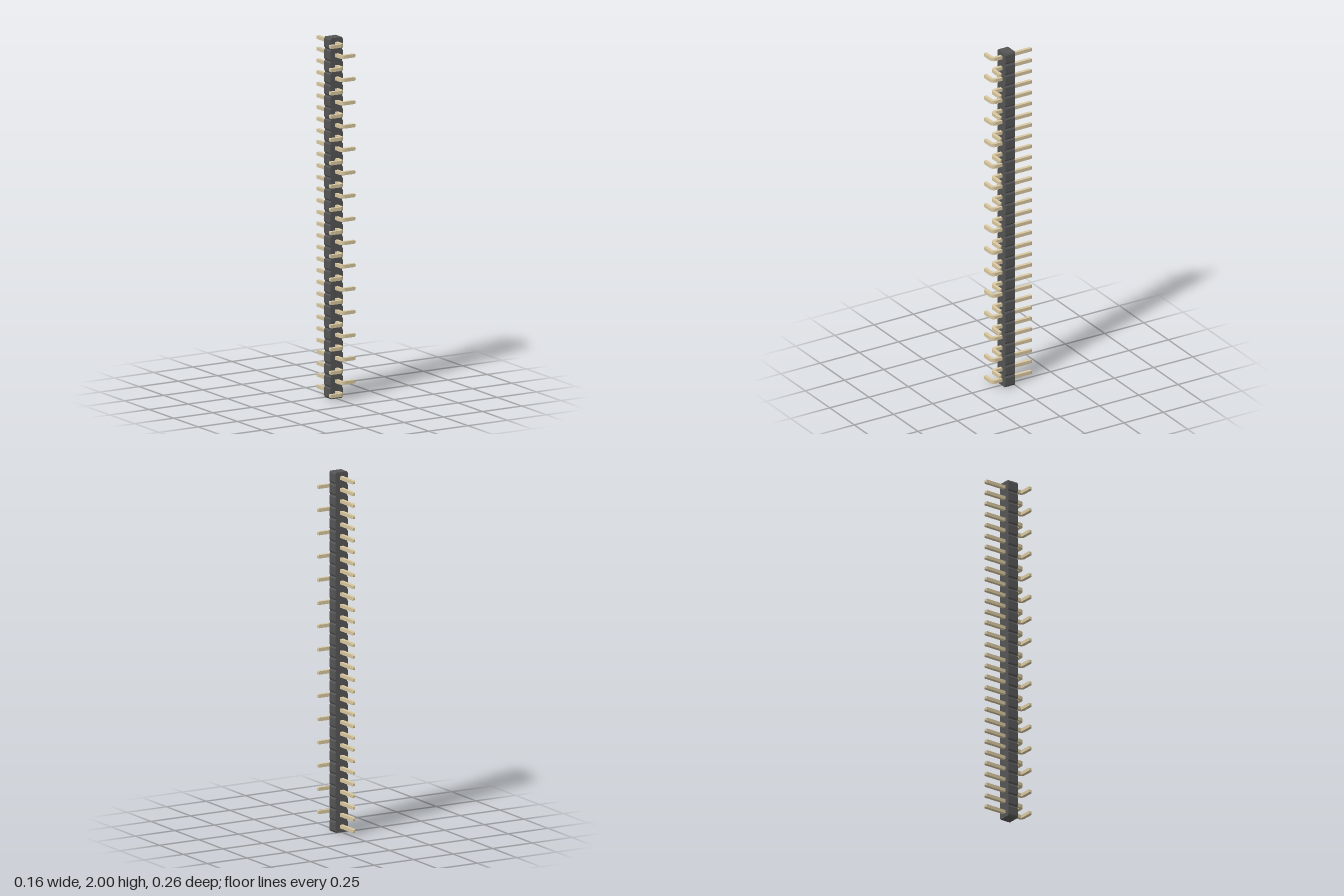
import * as THREE from 'three';

const COUNT = 31;
const PITCH = 2 / COUNT;
const HALF = 0.0095; // half thickness of the square pin wire

// Notched plastic strip: one chamfered cell per pin, extruded front to back
function stripGeometry() {
  const w = 0.04, inset = 0.034, c = 0.01;
  const right = [];
  for (let i = 0; i < COUNT; i++) {
    const y0 = i * PITCH, y1 = y0 + PITCH;
    right.push([inset, y0], [w, y0 + c], [w, y1 - c]);
  }
  right.push([inset, 2]);
  const left = right.map(([x, y]) => [-x, y]).reverse();
  const shape = new THREE.Shape([...right, ...left].map(([x, y]) => new THREE.Vector2(x, y)));
  return new THREE.ExtrudeGeometry(shape, { depth: 0.0625, bevelEnabled: false });
}

// Square wire running forwards, bent towards -x, with tapered ends
function pinGeometry() {
  const legZ = 0.1185, r = HALF + 0.006, bendZ = legZ - r;
  // Stations: x, z, turn angle, half thickness
  const stations = [
    [0, -0.13, 0, 0.0055],
    [0, -0.124, 0, HALF],
  ];
  const steps = 6;
  for (let i = 0; i <= steps; i++) {
    const a = (i / steps) * Math.PI / 2;
    stations.push([-r + r * Math.cos(a), bendZ + r * Math.sin(a), a, HALF]);
  }
  stations.push([-0.076, legZ, Math.PI / 2, HALF], [-0.08, legZ, Math.PI / 2, 0.0065]);

  const corners = [[1, 1], [-1, 1], [-1, -1], [1, -1]];
  const rings = stations.map(([x, z, a, h]) => corners.map(([u, v]) =>
    [x + u * h * Math.cos(a), v * h, z + u * h * Math.sin(a)]));

  const pos = [];
  const quad = (a, b, c, d) => pos.push(...a, ...b, ...c, ...a, ...c, ...d);
  for (let i = 0; i < rings.length - 1; i++) {
    const p = rings[i], q = rings[i + 1];
    for (let j = 0; j < 4; j++) {
      const k = (j + 1) % 4;
      quad(p[j], p[k], q[k], q[j]);
    }
  }
  const first = rings[0], last = rings[rings.length - 1];
  quad(first[3], first[2], first[1], first[0]);
  quad(last[0], last[1], last[2], last[3]);

  const geo = new THREE.BufferGeometry();
  geo.setAttribute('position', new THREE.Float32BufferAttribute(pos, 3));
  geo.computeVertexNormals();
  return geo;
}

export function createModel() {
  const model = new THREE.Group();
  model.name = 'pinHeader';

  const plastic = new THREE.MeshStandardMaterial({ color: 0x555555 });
  const metal = new THREE.MeshStandardMaterial({ color: 0xd9c8a0 });

  const strip = new THREE.Mesh(stripGeometry(), plastic);
  strip.name = 'plasticStrip';
  model.add(strip);

  // Pins with feet alternating left and right
  const pins = new THREE.Group();
  pins.name = 'pins';
  const geo = pinGeometry();
  for (let i = 0; i < COUNT; i++) {
    const pin = new THREE.Mesh(geo, metal);
    pin.name = i % 2 ? 'leftPin' : 'rightPin';
    pin.position.y = (i + 0.5) * PITCH;
    if (i % 2) pin.rotation.z = Math.PI;
    pins.add(pin);
  }
  model.add(pins);
  return model;
}
